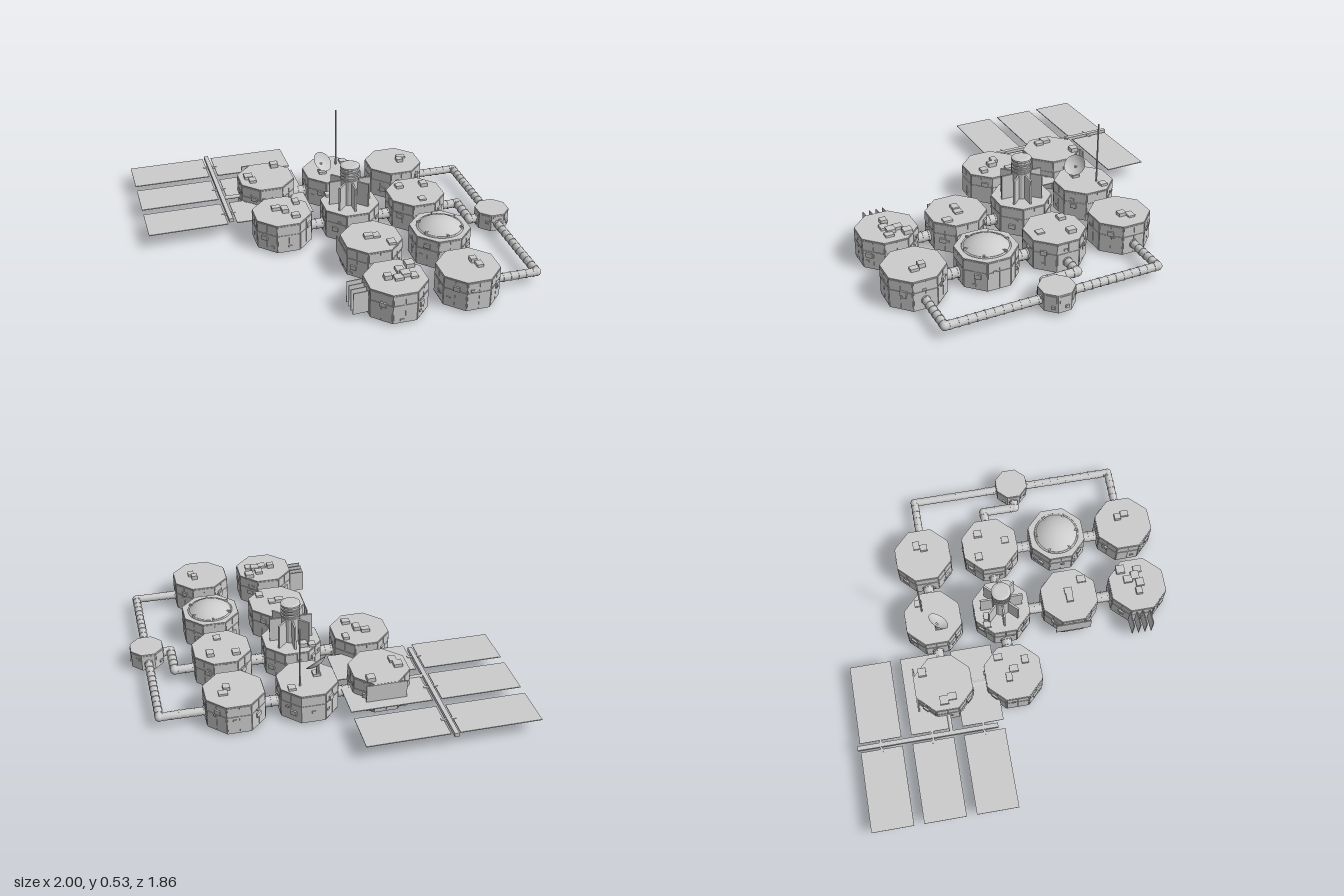
import * as THREE from 'three';

export function createModel() {
  const root = new THREE.Group();
  root.name = 'moonBase';
  const hull = new THREE.MeshStandardMaterial({ color: 0xcccccc });
  hull.name = 'hullGrey';
  hull.flatShading = true;
  const smooth = new THREE.MeshStandardMaterial({ color: 0xcccccc, side: THREE.DoubleSide });
  smooth.name = 'smoothGrey';

  let seed = 7;
  const rnd = () => (seed = (seed * 16807) % 2147483647) / 2147483647;

  const add = (parent, name, geo, x = 0, y = 0, z = 0, mat = hull) => {
    const m = new THREE.Mesh(geo, mat);
    m.name = name;
    m.position.set(x, y, z);
    parent.add(m);
    return m;
  };
  const box = (parent, name, w, h, d, x, y, z) => add(parent, name, new THREE.BoxGeometry(w, h, d), x, y, z);
  const octagon = (flat, h) => new THREE.CylinderGeometry(flat / Math.cos(Math.PI / 8), flat / Math.cos(Math.PI / 8), h, 8).rotateY(Math.PI / 8);

  // Straight tube between two points, with evenly spaced rib rings
  const tube = (name, a, b, r, ribs = 0) => {
    const p = new THREE.Vector3(...a), q = new THREE.Vector3(...b);
    const g = new THREE.Group();
    g.name = name;
    const len = p.distanceTo(q);
    add(g, name + 'Body', new THREE.CylinderGeometry(r, r, len, 16), 0, 0, 0, smooth);
    for (let i = 0; i < ribs; i++)
      add(g, name + 'Rib', new THREE.CylinderGeometry(r * 1.1, r * 1.1, 0.008, 16), 0, ((i + 0.5) / ribs - 0.5) * len, 0);
    g.position.copy(p).add(q).multiplyScalar(0.5);
    g.quaternion.setFromUnitVectors(new THREE.Vector3(0, 1, 0), q.sub(p).normalize());
    root.add(g);
  };

  // Octagonal habitat: core, wall panels, wall fittings and roof boxes
  const habitat = (x, z, top, roofBoxes) => {
    const g = new THREE.Group();
    g.name = 'habitat';
    g.position.set(x, 0, z);
    root.add(g);
    const f = 0.153, h = top - 0.01;
    add(g, 'habitatCore', octagon(f, h), 0, 0.01 + h / 2, 0);
    for (let i = 0; i < 8; i++) {
      const wall = new THREE.Group();
      wall.name = 'wall';
      wall.rotation.y = (i * Math.PI) / 4;
      g.add(wall);
      for (const s of [-1, 1]) {
        box(wall, 'upperPanel', 0.058, h * 0.3, 0.006, s * 0.031, 0.01 + h * 0.81, f);
        box(wall, 'lowerPanel', 0.058, h * 0.58, 0.006, s * 0.031, 0.01 + h * 0.33, f);
      }
      if (i % 2) box(wall, 'wallUnit', 0.035, 0.025, 0.02, (rnd() - 0.5) * 0.05, 0.06 + rnd() * 0.08, f + 0.002);
      box(wall, 'wallFitting', 0.02, 0.012, 0.012, (rnd() - 0.5) * 0.09, 0.03 + rnd() * 0.11, f + 0.002);
    }
    for (const [bx, bz] of roofBoxes) {
      const bh = 0.01 + rnd() * 0.016;
      box(g, 'roofBox', 0.034 + rnd() * 0.015, bh, 0.034 + rnd() * 0.015, bx, top + bh / 2 - 0.001, bz);
    }
    return g;
  };

  const [A, B, C] = [-0.275, 0.117, 0.507];
  const [R1, R2, R3, R4] = [-0.41, -0.02, 0.37, 0.765];
  const garage = habitat(A, R1, 0.193, [[0.075, -0.107], [-0.1, -0.01], [-0.085, 0.037]]);
  const comms = habitat(B, R1, 0.18, [[0.096, -0.07], [-0.057, 0.025]]);
  habitat(C, R1, 0.18, [[0.06, -0.03], [0.037, 0.01]]);
  habitat(A, R2, 0.18, [[0.096, -0.07], [-0.027, -0.027], [0.016, 0.005], [0.06, 0.075]]);
  const towerBase = habitat(B, R2, 0.18, [[-0.096, -0.096], [-0.05, -0.09]]);
  habitat(C, R2, 0.18, [[-0.07, -0.075], [0.07, -0.06], [0.01, 0.09]]);
  const lab = habitat(B, R3, 0.18, [[-0.016, 0], [0.027, 0], [0.085, 0.085]]);
  const domeBase = habitat(C, R3, 0.18, []);
  const power = habitat(B, R4, 0.18, [[0.1, -0.08], [0.037, -0.048], [-0.043, 0], [0.01, 0.016], [0.053, -0.005], [0.09, 0.016]]);
  habitat(C, R4, 0.18, [[0.037, -0.027], [0.053, 0.016]]);

  // Garage: wide rear door and a low footing
  box(garage, 'rearDoor', 0.22, 0.16, 0.008, 0, 0.112, -0.156);
  box(garage, 'footing', 0.12, 0.014, 0.1, 0, 0.007, -0.05);

  // Short connecting tunnels between neighbouring habitats
  const ty = 0.065;
  for (const [x1, z1, x2, z2] of [[A, R1, B, R1], [B, R1, C, R1], [A, R2, B, R2], [B, R2, C, R2],
    [A, R1, A, R2], [B, R2, B, R3], [B, R3, B, R4], [C, R2, C, R3], [C, R3, C, R4]]) {
    const mx = (x1 + x2) / 2, mz = (z1 + z2) / 2;
    const dx = x1 === x2 ? 0 : 0.05, dz = z1 === z2 ? 0 : 0.05;
    tube('tunnel', [mx - dx, ty, mz - dz], [mx + dx, ty, mz + dz], 0.029, 3);
  }

  // Long outer corridor and the side corridor to the junction
  const P = 0.9, J = 0.173;
  const corridor = (pts, r) => {
    pts.forEach(([x, z], i) => {
      if (i === 0) return;
      const [px, pz] = pts[i - 1];
      tube('corridor', [px, ty, pz], [x, ty, z], r, Math.max(2, Math.round(Math.hypot(x - px, z - pz) / 0.045)));
      if (i < pts.length - 1) add(root, 'corridorElbow', new THREE.SphereGeometry(r * 1.08, 16, 10), x, ty, z, smooth);
    });
  };
  corridor([[C + 0.14, R1], [P, R1], [P, J - 0.08]], 0.022);
  corridor([[C + 0.14, R4], [P, R4], [P, J + 0.08]], 0.022);
  corridor([[C + 0.14, R2 + 0.005], [0.768, R2 + 0.005], [0.768, J], [P - 0.08, J]], 0.024);

  // Small junction module
  const junction = new THREE.Group();
  junction.name = 'junction';
  junction.position.set(P, 0, J);
  root.add(junction);
  add(junction, 'junctionCore', octagon(0.088, 0.1), 0, 0.07, 0);
  for (let i = 0; i < 8; i++) {
    const w = new THREE.Group();
    w.name = 'junctionWall';
    w.rotation.y = (i * Math.PI) / 4;
    junction.add(w);
    box(w, 'junctionPanel', 0.055, 0.04, 0.006, 0, 0.092, 0.088);
    box(w, 'junctionFitting', 0.02, 0.015, 0.012, 0.012, 0.04 + rnd() * 0.05, 0.09);
  }

  // Tower: ribbed cylinder with eight radial fins
  const profile = [[0, 0.17], [0.052, 0.17], [0.052, 0.33], [0.047, 0.335], [0.047, 0.395], [0.055, 0.4], [0.055, 0.41], [0.04, 0.415], [0, 0.415]];
  add(towerBase, 'towerCore', new THREE.LatheGeometry(profile.map(p => new THREE.Vector2(...p)), 16), 0, 0, 0);
  for (const y of [0.34, 0.36, 0.38]) add(towerBase, 'towerRing', new THREE.CylinderGeometry(0.054, 0.054, 0.008, 16), 0, y, 0);
  for (let i = 0; i < 8; i++) {
    const a = (i * Math.PI) / 4;
    const fin = box(towerBase, 'towerFin', 0.08, 0.145, 0.01, Math.cos(a) * 0.079, 0.248, -Math.sin(a) * 0.079);
    fin.rotation.y = a;
  }

  // Shallow glass dome, its rim and edge clamps
  const dr = 0.122, dh = 0.046, R = (dr * dr + dh * dh) / (2 * dh);
  add(domeBase, 'dome', new THREE.SphereGeometry(R, 32, 8, 0, Math.PI * 2, 0, Math.asin(dr / R)), 0, 0.18 + dh - R, 0, smooth);
  add(domeBase, 'domeRim', new THREE.TorusGeometry(0.122, 0.006, 6, 32).rotateX(Math.PI / 2), 0, 0.18, 0, smooth);
  for (let i = 0; i < 6; i++) {
    const a = Math.PI / 6 + (i * Math.PI) / 3;
    box(domeBase, 'domeClamp', 0.03, 0.014, 0.008, Math.cos(a) * 0.112, 0.188, -Math.sin(a) * 0.112).rotation.y = a;
  }

  // Dish and mast antenna
  const bowl = [[0, 0], [0.025, 0.003], [0.045, 0.011], [0.062, 0.022]].map(p => new THREE.Vector2(...p));
  const dish = add(comms, 'dish', new THREE.LatheGeometry(bowl, 24), -0.063, 0.238, 0.015, smooth);
  dish.quaternion.setFromUnitVectors(new THREE.Vector3(0, 1, 0), new THREE.Vector3(0.42, 0.7, 0.58).normalize());
  add(comms, 'dishPost', new THREE.CylinderGeometry(0.008, 0.012, 0.06, 8), -0.063, 0.21, 0.015);
  add(comms, 'mast', new THREE.CylinderGeometry(0.004, 0.005, 0.355, 8), 0.05, 0.357, -0.055);

  // Radiator fins and a thin side panel on the left-hand habitats
  for (let i = 0; i < 4; i++)
    box(power, 'radiatorFin', 0.085, 0.125, 0.005, -0.195, 0.093, -0.066 + i * 0.037).rotation.y = 0.06;
  box(lab, 'sidePanel', 0.005, 0.1, 0.2, -0.162, 0.105, 0);

  // Solar array: spine, cross arms, wings and link to the garage
  box(root, 'solarSpine', 0.024, 0.022, 0.78, -0.535, 0.088, -0.54);
  for (const z of [-0.8, -0.515, -0.23]) {
    box(root, 'solarArm', 0.08, 0.012, 0.014, -0.535, 0.088, z);
    for (const x of [-0.78, -0.2875]) box(root, 'solarWing', 0.442, 0.005, 0.23, x, 0.088, z);
  }
  tube('solarLink', [-0.535, 0.088, R1], [-0.42, 0.088, R1], 0.011);

  return root;
}
